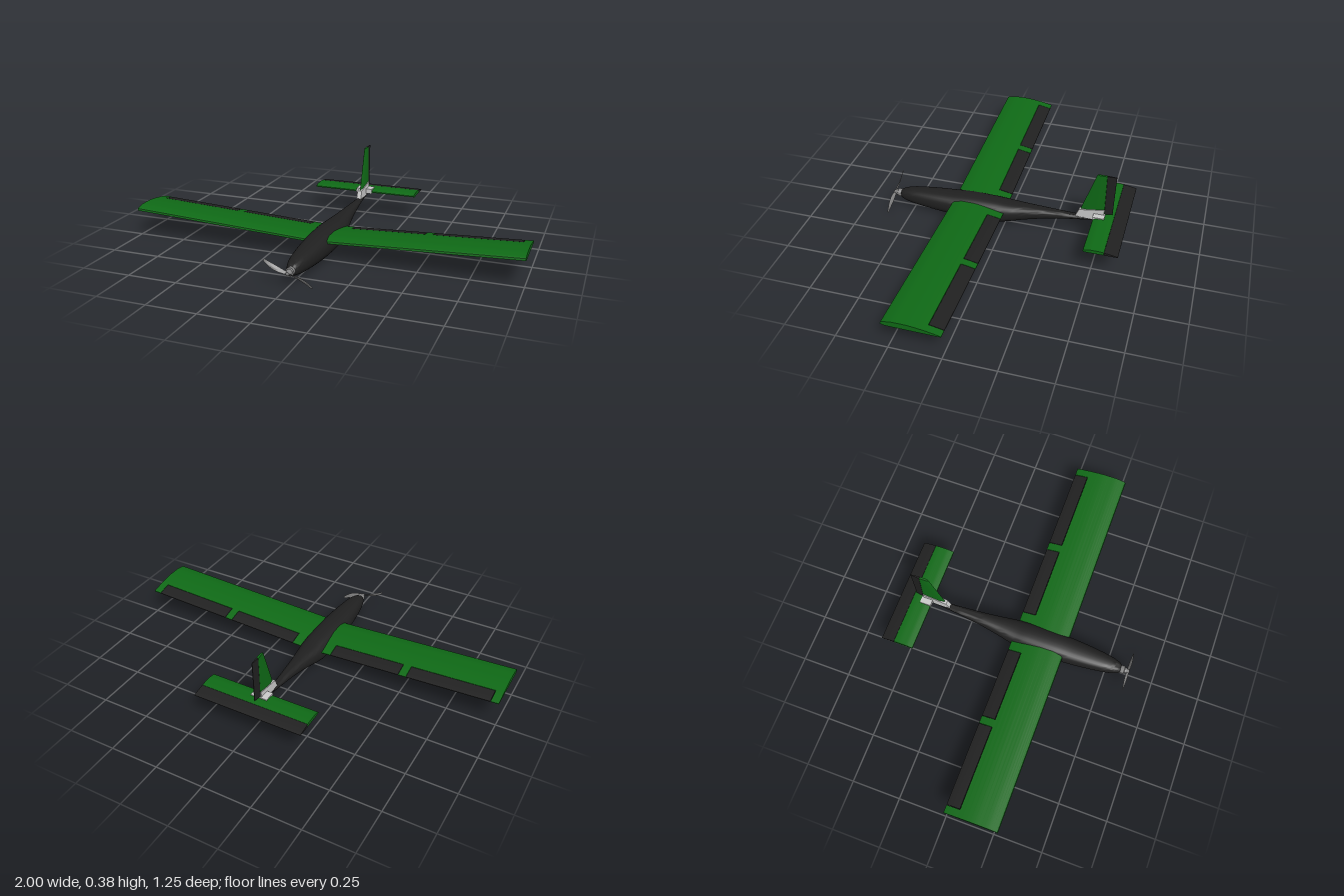
import * as THREE from 'three';
import { toCreasedNormals } from 'three/addons/utils/BufferGeometryUtils.js';

const mat = (color) => new THREE.MeshStandardMaterial({ color, roughness: 0.8, side: THREE.DoubleSide });
const GREEN = mat(0x0f6a16), BLACK = mat(0x202020), GREY = mat(0xcccccc), METAL = mat(0x808080);

// Joins equal-length rings of [x, y, z] into a closed skin with end caps
function loft(rings, crease = 0.6) {
  const n = rings[0].length, last = (rings.length - 1) * n, index = [];
  for (let r = 0; r < rings.length - 1; r++) {
    for (let i = 0; i < n; i++) {
      const a = r * n + i, b = r * n + (i + 1) % n;
      index.push(a, a + n, b + n, a, b + n, b);
    }
  }
  for (let i = 1; i < n - 1; i++) index.push(0, i, i + 1, last, last + i + 1, last + i);
  const g = new THREE.BufferGeometry();
  g.setAttribute('position', new THREE.Float32BufferAttribute(rings.flat(2), 3));
  g.setIndex(index);
  return toCreasedNormals(g, crease);
}

function add(parent, name, geometry, material) {
  const mesh = new THREE.Mesh(geometry, material);
  mesh.name = name;
  parent.add(mesh);
  return mesh;
}

// Flat-bottomed aerofoil: front z, back z, base y, height and rise per unit of span
const WING = { front: 0.275, back: -0.003, base: 0.083, height: 0.029, rise: 0.048 };
const TAIL = { front: -0.46, back: -0.63, base: 0.128, height: 0.018, rise: 0 };

function section(foil, x, z0, z1) {
  const top = [], bottom = [], N = 14;
  for (let i = 0; i <= N; i++) {
    const z = z0 + (z1 - z0) * (i / N) ** 1.6;
    const t = (foil.front - z) / (foil.front - foil.back);
    const y = foil.base + foil.rise * Math.abs(x);
    const nose = 0.22 * foil.height * Math.max(0, 1 - t / 0.12) ** 2;
    const bulge = 2.3 * Math.sqrt(t) * (1 - t) ** 0.9 * (1 - 0.25 * t) * 1.22;
    const upper = nose + foil.height * (0.12 + 0.88 * Math.min(1, bulge / 2.3 / 0.427));
    top.push([x, y + upper * (t < 0.001 ? 0.7 : 1), z]);
    bottom.unshift([x, y + nose, z]);
  }
  return [...top, ...bottom];
}

const panel = (foil, xa, xb, z0, z1) => loft([section(foil, xa, z0, z1), section(foil, xb, z0, z1)]);

function createWing(side) {
  const wing = new THREE.Group();
  wing.name = side > 0 ? 'leftWing' : 'rightWing';
  const hinge = 0.068;
  const span = (a, b) => (side > 0 ? [a, b] : [-b, -a]);
  add(wing, 'wingPanel', panel(WING, ...span(0.04, 1), WING.front, hinge), GREEN);
  for (const [a, b] of [[0.04, 0.11], [0.488, 0.528], [0.96, 1]])
    add(wing, 'trailingEdge', panel(WING, ...span(a, b), hinge, WING.back), GREEN);
  add(wing, 'flap', panel(WING, ...span(0.112, 0.486), hinge - 0.002, WING.back), BLACK);
  add(wing, 'aileron', panel(WING, ...span(0.53, 0.958), hinge - 0.002, WING.back), BLACK);
  return wing;
}

function createFuselage() {
  // z, half width, bottom y, top y
  const stations = [
    [0.578, 0.018, 0.045, 0.082], [0.565, 0.027, 0.036, 0.09], [0.54, 0.036, 0.029, 0.098],
    [0.5, 0.045, 0.022, 0.106], [0.4, 0.058, 0.012, 0.115], [0.3, 0.066, 0.004, 0.121],
    [0.2, 0.069, 0, 0.127], [0.07, 0.068, 0.001, 0.126], [0, 0.064, 0.012, 0.122],
    [-0.1, 0.047, 0.04, 0.121], [-0.2, 0.033, 0.064, 0.121], [-0.3, 0.023, 0.083, 0.12],
    [-0.4, 0.015, 0.097, 0.12], [-0.54, 0.007, 0.108, 0.12]];
  const curves = [1, 2, 3].map((k) => new THREE.CatmullRomCurve3(
    stations.map((s) => new THREE.Vector3(s[0], s[k], 0))));
  const rings = [], SIDES = 32, STEPS = 52;
  for (let i = 0; i <= STEPS; i++) {
    const [w, lo, hi] = curves.map((c) => c.getPoint(i / STEPS).y);
    const z = curves[0].getPoint(i / STEPS).x;
    rings.push(Array.from({ length: SIDES }, (_, k) => {
      const a = (k / SIDES) * Math.PI * 2, c = Math.cos(a), s = Math.sin(a);
      const round = (v) => Math.sign(v) * Math.abs(v) ** (s > 0 ? 0.78 : 0.95);
      return [w * round(c), (lo + hi) / 2 + (hi - lo) / 2 * round(s), z];
    }));
  }
  return loft(rings, 0.9);
}

// Upright slab with a pointed nose; levels are [y, nose z, back z, half thickness]
const fin = (levels) => loft(levels.map(([y, zf, zb, w]) => {
  const zm = zf + (zb - zf) * 0.25;
  return [[w, y, zb], [w, y, zm], [0, y, zf], [-w, y, zm], [-w, y, zb]];
}));

function createTail() {
  const tail = new THREE.Group();
  tail.name = 'tail';
  const hinge = -0.562;
  add(tail, 'stabiliser', panel(TAIL, -0.288, 0.288, TAIL.front, hinge), GREEN);
  add(tail, 'elevator', panel(TAIL, -0.288, 0.288, hinge - 0.001, TAIL.back), BLACK);
  add(tail, 'fin', fin([[0.14, -0.383, -0.511, 0.008], [0.38, -0.462, -0.511, 0.005]]), GREEN);
  const rudder = [[0.155, 0.008], [0.38, 0.005]].map(([y, w]) => {
    const zb = y < 0.2 ? -0.552 : -0.558;
    return [[0.0015, y, zb], [w, y, -0.512], [-w, y, -0.512], [-0.0015, y, zb]];
  });
  add(tail, 'rudder', loft(rudder), BLACK);

  // Bracket that carries the fin and clamps the stabiliser
  const shape = new THREE.Shape([
    [0.365, 0.115], [0.383, 0.16], [0.511, 0.18], [0.511, 0.146], [0.46, 0.115],
  ].map(([u, v]) => new THREE.Vector2(u, v)));
  const web = new THREE.ExtrudeGeometry(shape, { depth: 0.024, bevelEnabled: false });
  web.rotateY(Math.PI / 2).translate(-0.012, 0, 0);
  add(tail, 'finBracket', web, GREY);
  const saddle = new THREE.BoxGeometry(0.088, 0.026, 0.058);
  add(tail, 'stabiliserSaddle', saddle, GREY).position.set(0, 0.138, -0.488);
  return tail;
}

function createPropeller() {
  const prop = new THREE.Group();
  prop.name = 'propeller';
  prop.position.y = 0.064;
  const profile = [[0, 0.565], [0.018, 0.565], [0.021, 0.575], [0.021, 0.594], [0.015, 0.597],
    [0.015, 0.603], [0.011, 0.61], [0.009, 0.62], [0, 0.624]];
  const hub = new THREE.LatheGeometry(profile.map((p) => new THREE.Vector2(...p)).reverse(), 24);
  add(prop, 'motorHub', toCreasedNormals(hub.rotateX(Math.PI / 2), 0.6), METAL);

  // Twisted, slightly swept blade
  const rings = [];
  for (let i = 0; i <= 12; i++) {
    const t = i / 12, twist = 0.9 - 0.65 * t;
    const chord = 0.004 + 0.008 * Math.sin(Math.PI * Math.min(1, t * 0.85 + 0.1));
    rings.push(Array.from({ length: 12 }, (_, k) => {
      const a = (k / 12) * Math.PI * 2, u = Math.sin(a) * chord, v = Math.cos(a) * 0.0014;
      return [0.004 + 0.125 * t, 0.007 * Math.sin(Math.PI * t) + u * Math.cos(twist) - v * Math.sin(twist),
        u * Math.sin(twist) + v * Math.cos(twist)];
    }));
  }
  const blade = loft(rings, 1);
  for (const turn of [0, Math.PI]) {
    const mesh = add(prop, 'propellerBlade', blade, METAL);
    mesh.position.z = 0.615;
    mesh.rotation.z = turn - 0.42;
  }
  return prop;
}

export function createModel() {
  const plane = new THREE.Group();
  plane.name = 'airplane';
  add(plane, 'fuselage', createFuselage(), BLACK);
  plane.add(createWing(1), createWing(-1), createTail(), createPropeller());
  return plane;
}
